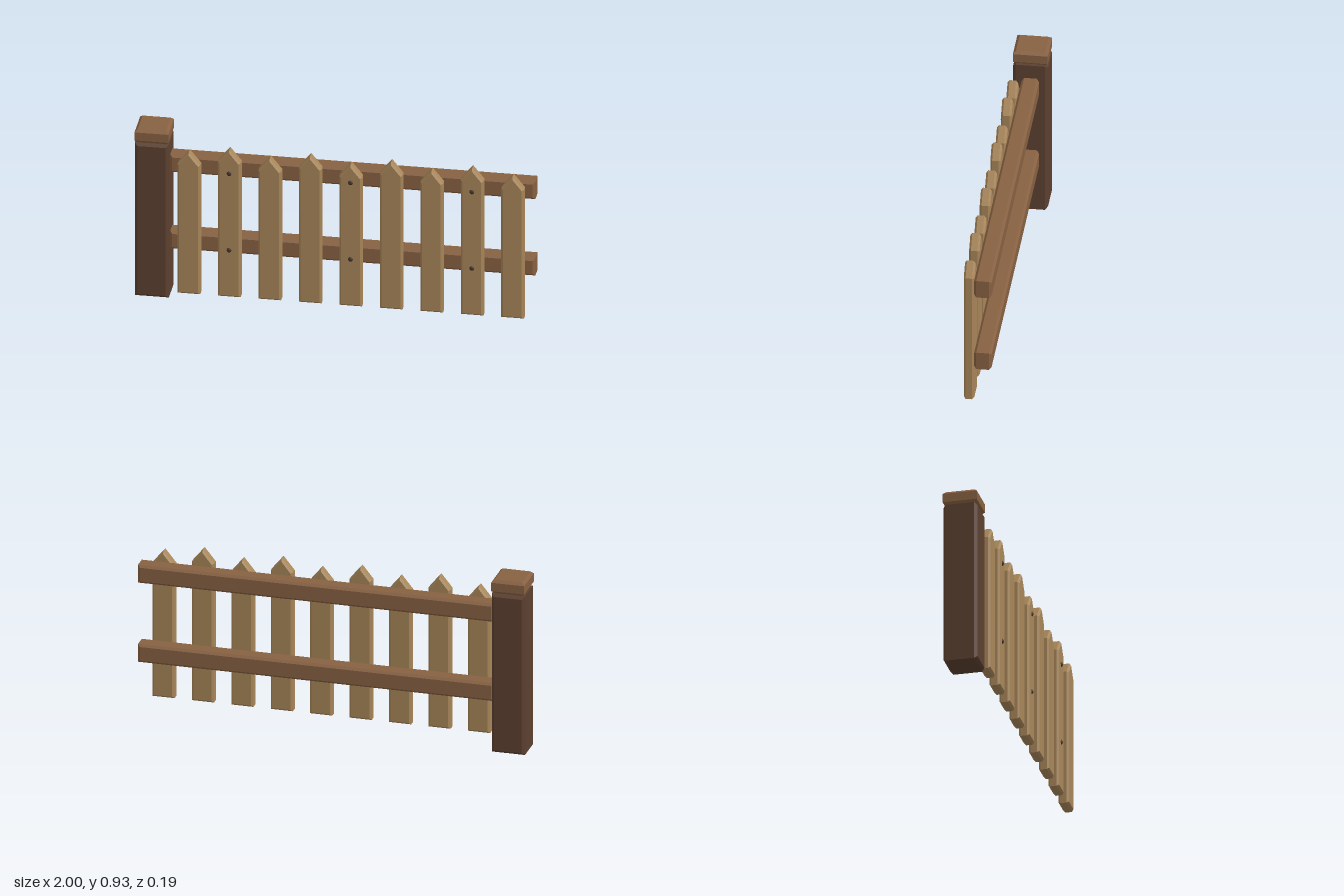
import * as THREE from 'three';

// Plate with chamfered front and back edges; outline is the full outer size
function chamferedPlate(points, depth, bevel) {
  const shape = new THREE.Shape(points.map(([x, y]) => new THREE.Vector2(x, y)));
  const geo = new THREE.ExtrudeGeometry(shape, {
    depth: depth - 2 * bevel, bevelEnabled: true, bevelSegments: 1,
    bevelSize: bevel, bevelThickness: bevel, bevelOffset: -bevel, steps: 1,
  });
  geo.translate(0, 0, bevel - depth / 2);
  return geo;
}

const rect = (w, h) => [[-w / 2, -h / 2], [w / 2, -h / 2], [w / 2, h / 2], [-w / 2, h / 2]];

export function createModel() {
  const fence = new THREE.Group();
  fence.name = 'picketFence';

  const material = (name, color) => {
    const m = new THREE.MeshStandardMaterial({ color });
    m.name = name;
    return m;
  };
  const darkWood = material('darkWood', 0x5c4030);
  const midWood = material('midWood', 0x886142);
  const lightWood = material('lightWood', 0xa88659);
  const iron = material('iron', 0x44352b);

  const add = (name, geo, mat, x, y, z) => {
    const mesh = new THREE.Mesh(geo, mat);
    mesh.name = name;
    mesh.position.set(x, y, z);
    fence.add(mesh);
    return mesh;
  };

  // Post with its cap
  add('post', chamferedPlate(rect(0.17, 0.85), 0.174, 0.014), darkWood, -0.915, 0.425, -0.01);
  const capGeo = chamferedPlate(rect(0.17, 0.174), 0.073, 0.014).rotateX(-Math.PI / 2);
  add('postCap', capGeo, midWood, -0.915, 0.8885, -0.01);

  // Two horizontal rails
  const railGeo = chamferedPlate(rect(1.83, 0.097), 0.088, 0.012);
  add('lowerRail', railGeo, midWood, 0.085, 0.302, -0.011);
  add('upperRail', railGeo, midWood, 0.085, 0.727, -0.011);

  // Pointed pickets, alternating short and tall
  const picketGeo = (tip) => chamferedPlate(
    [[-0.057, 0.04], [0.057, 0.04], [0.057, tip - 0.07], [0, tip], [-0.057, tip - 0.07]], 0.053, 0.01);
  const shortPicket = picketGeo(0.825);
  const tallPicket = picketGeo(0.855);
  const nailGeo = new THREE.SphereGeometry(0.013, 10, 6).scale(1, 1, 0.75);

  for (let i = 0; i < 9; i++) {
    const x = -0.727 + i * 0.2028;
    add('picket', i % 2 ? tallPicket : shortPicket, lightWood, x, 0, 0.0635);
    // Nail heads on every third picket
    if (i % 3 === 1) {
      for (const y of [0.302, 0.727]) add('nailHead', nailGeo, iron, x, y, 0.088);
    }
  }
  return fence;
}
